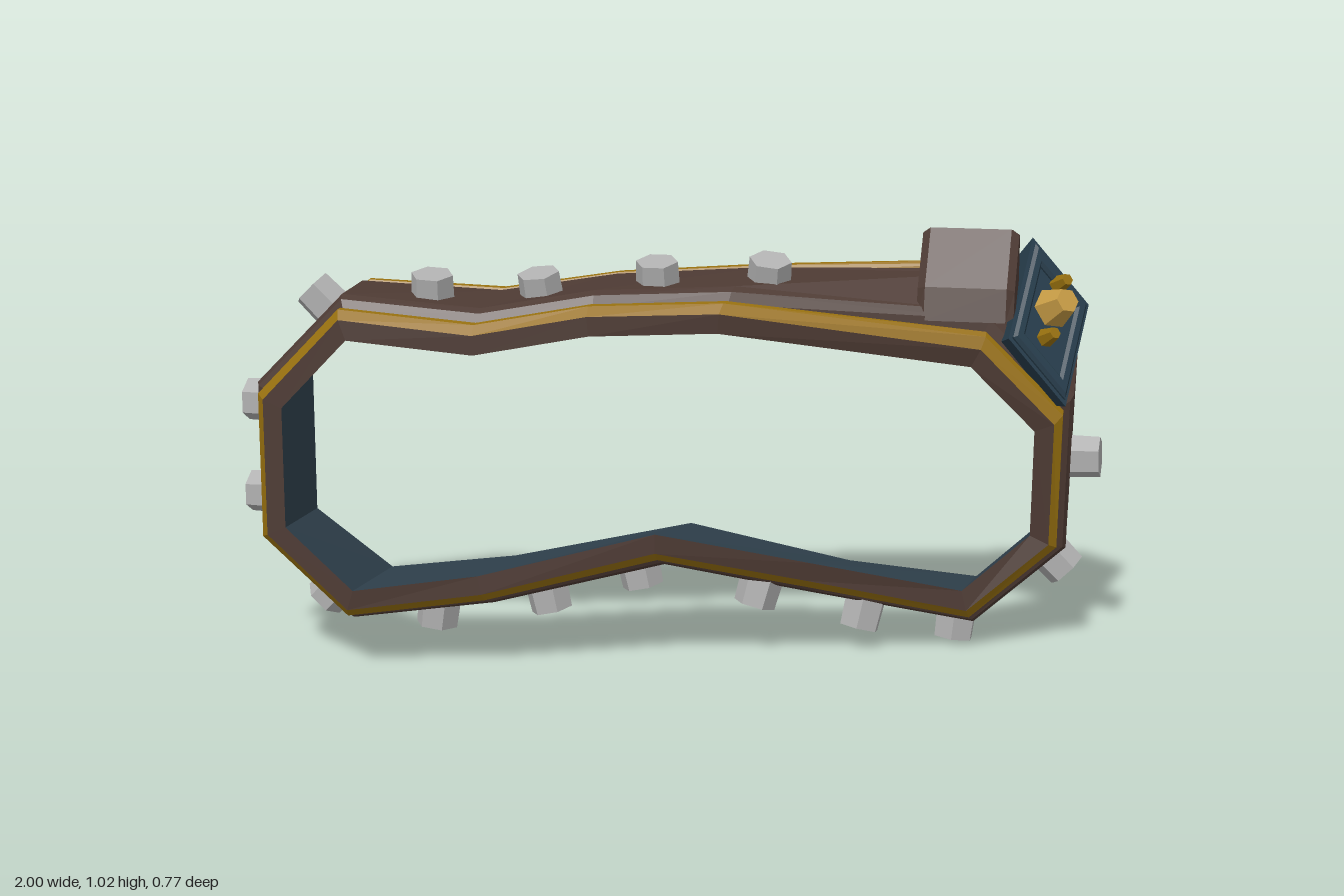
import * as THREE from 'three';

const mat = (name, color) => {
  const m = new THREE.MeshStandardMaterial({ color, flatShading: true });
  m.name = name;
  return m;
};

// Base loop of the strap, clockwise from the front: front x,y,z then back x,y,z
const PATH = [
  [-0.85, 0.63, 0.39, -0.86, 0.655, 0.06],
  [-0.69, 0.795, 0.39, -0.70, 0.805, 0.06],
  [-0.40, 0.765, 0.355, -0.40, 0.795, 0.03],
  [-0.14, 0.81, 0.305, -0.13, 0.83, -0.05],
  [0.14, 0.81, 0.21, 0.20, 0.845, -0.14],
  [0.70, 0.71, -0.02, 0.70, 0.87, -0.23],
  [0.85, 0.555, -0.055, 0.85, 0.73, -0.255],
  [0.845, 0.295, -0.08, 0.83, 0.27, -0.385],
  [0.69, 0.16, -0.04, 0.69, 0.145, -0.345],
  [0.345, 0.2475, 0.10, 0.40, 0.195, -0.235],
  [0, 0.335, 0.24, 0.02, 0.31, -0.09],
  [-0.40, 0.24, 0.345, -0.40, 0.235, 0.03],
  [-0.69, 0.20, 0.39, -0.69, 0.2, 0.06],
  [-0.85, 0.345, 0.39, -0.86, 0.32, 0.06],
];
const N = PATH.length;

// Mitred outward direction at each path point
const MITRE = PATH.map((p, i) => {
  const a = PATH[(i + N - 1) % N], b = PATH[(i + 1) % N];
  const n1 = new THREE.Vector2(a[1] - p[1], p[0] - a[0]).normalize();
  const n2 = new THREE.Vector2(p[1] - b[1], b[0] - p[0]).normalize();
  return n1.clone().add(n2).divideScalar(1 + n1.dot(n2));
});

// u runs from front edge to back edge, v is the height outward
function strapPoint(i, [u, v]) {
  const p = PATH[i % N], m = MITRE[i % N];
  return [
    p[0] + (p[3] - p[0]) * u + m.x * v,
    p[1] + (p[4] - p[1]) * u + m.y * v,
    p[2] + (p[5] - p[2]) * u,
  ];
}

// Sweep one section of the profile round the loop
function sweep(name, profile, material) {
  const pos = [];
  for (let i = 0; i < N; i++) {
    for (let j = 0; j < profile.length - 1; j++) {
      const a = strapPoint(i, profile[j]), b = strapPoint(i + 1, profile[j]);
      const c = strapPoint(i + 1, profile[j + 1]), d = strapPoint(i, profile[j + 1]);
      pos.push(...a, ...b, ...c, ...a, ...c, ...d);
    }
  }
  const g = new THREE.BufferGeometry();
  g.setAttribute('position', new THREE.Float32BufferAttribute(pos, 3));
  g.computeVertexNormals();
  const mesh = new THREE.Mesh(g, material);
  mesh.name = name;
  return mesh;
}

const points = (list) => list.map(([x, y]) => new THREE.Vector2(x, y));
const rect = (C, w, h) => new C(points([[-w, -h], [w, -h], [w, h], [-w, h]]));

export function createModel() {
  const leather = mat('brown leather', 0x4d3a33);
  const brass = mat('dark brass', 0x97700f);
  const lining = mat('blue lining', 0x2f404c);
  const plateBlue = mat('blue plate', 0x263c4b);
  const steel = mat('grey steel', 0xb0b0b0);
  const gold = mat('pale gold', 0xc79c45);

  const model = new THREE.Group();
  model.name = 'belt';
  const add = (name, geo, material, parent = model) => {
    const m = new THREE.Mesh(geo, material);
    m.name = name;
    parent.add(m);
    return m;
  };

  // Strap: edges, trims, raised centre and lining; thinner at the back
  model.add(
    sweep('frontEdge', [[0, 0], [0, 0.045]], leather),
    sweep('frontTrim', [[0, 0.045], [0.07, 0.064], [0.13, 0.064], [0.165, 0.053]], brass),
    sweep('strapCentre', [[0.165, 0.053], [0.21, 0.078], [0.27, 0.086], [0.75, 0.086], [0.82, 0.082], [0.87, 0.065]], leather),
    sweep('backTrim', [[0.87, 0.065], [0.9, 0.08], [0.95, 0.08], [1, 0.058]], brass),
    sweep('backEdge', [[1, 0.058], [1, 0.03]], leather),
    sweep('lining', [[1, 0.03], [0, 0]], lining),
  );

  // Hexagonal studs: centre, then outward direction
  const up = new THREE.Vector3(0, 1, 0);
  const studs = [
    [-0.535, 0.888, 0.21, 0.05, 1, 0.2], [-0.285, 0.893, 0.17, -0.1, 1, 0.22],
    [-0.02, 0.919, 0.11, 0, 1, 0.22], [0.23, 0.92, 0.03, 0.12, 1, 0.3],
    [-0.795, 0.86, 0.23, -0.7, 0.7, 0.05], [-0.957, 0.61, 0.215, -1, 0, 0],
    [-0.957, 0.385, 0.215, -1, 0, 0], [-0.79, 0.158, 0.23, -0.7, -0.75, 0],
    [-0.535, 0.118, 0.215, -0.13, -1, 0], [-0.275, 0.158, 0.17, 0.22, -1, 0],
    [-0.065, 0.213, 0.11, 0.22, -1, 0], [0.21, 0.158, 0.03, -0.25, -1, 0.15],
    [0.45, 0.09, -0.06, -0.2, -1, 0.2], [0.665, 0.05, -0.16, -0.1, -1, 0.1],
    [0.90, 0.205, -0.22, 0.7, -0.7, 0], [0.96, 0.47, -0.185, 1, 0.03, 0.05],
  ];
  const studGeo = new THREE.CylinderGeometry(0.05, 0.053, 0.08, 6).rotateY(Math.PI / 6);
  const studGroup = new THREE.Group();
  studGroup.name = 'studs';
  model.add(studGroup);
  for (const [x, y, z, nx, ny, nz] of studs) {
    const s = add('stud', studGeo, steel, studGroup);
    s.position.set(x, y, z);
    s.quaternion.setFromUnitVectors(up, new THREE.Vector3(nx, ny, nz).normalize());
  }

  // Leather loop beside the buckle: a side profile (z, y) extruded across
  const loopShape = new THREE.Shape(points([
    [0.02, 0.83], [0.035, 0.89], [0.13, 1.008], [0.148, 1.005], [0.152, 0.85],
  ]));
  const loopGeo = new THREE.ExtrudeGeometry(loopShape, {
    depth: 0.19, bevelEnabled: true, bevelSize: 0.012, bevelThickness: 0.018, bevelSegments: 1,
  });
  const strapLoop = add('strapLoop', loopGeo, leather);
  strapLoop.rotation.y = Math.PI / 2;
  strapLoop.position.x = 0.588;

  // Buckle: slanted plate, smaller at the back, with a raised rim
  const X = new THREE.Vector3(0.646, -0.757, -0.067);
  const Y = new THREE.Vector3(0.134, 0.773, -0.62);
  const Z = X.clone().cross(Y).normalize();
  const centre = new THREE.Vector3(0.863, 0.8, -0.132);
  const slant = new THREE.Matrix4().makeBasis(X, Y, Z).setPosition(centre);
  const buckle = new THREE.Group();
  buckle.name = 'buckle';
  model.add(buckle);
  const base = new THREE.BoxGeometry(0.21, 0.276, 0.065).translate(0, 0, -0.0175);
  const bp = base.attributes.position;
  for (let i = 0; i < bp.count; i++) {
    if (bp.getZ(i) < 0) bp.setXY(i, bp.getX(i) * 0.92, bp.getY(i) * 0.88);
  }
  add('bucklePlate', base.applyMatrix4(slant), plateBlue, buckle);
  const rimShape = rect(THREE.Shape, 0.088, 0.12);
  rimShape.holes.push(rect(THREE.Path, 0.072, 0.1));
  const rim = new THREE.ExtrudeGeometry(rimShape, {
    depth: 0.02, bevelEnabled: true, bevelSize: 0.008, bevelThickness: 0.008, bevelSegments: 1,
  });
  add('buckleRim', rim.applyMatrix4(slant), plateBlue, buckle);

  // Gold ornaments on the buckle
  const ornament = (name, r, h, along, lift, material) => {
    const m = add(name, new THREE.CylinderGeometry(r * 0.6, r, h, 6), material, buckle);
    m.position.copy(centre).addScaledVector(Y, along).addScaledVector(Z, lift);
    m.quaternion.setFromUnitVectors(up, Z);
  };
  ornament('gem', 0.05, 0.066, 0.035, 0.047, gold);
  ornament('upperRivet', 0.024, 0.045, 0.1, 0.035, brass);
  ornament('lowerRivet', 0.024, 0.045, -0.045, 0.035, brass);

  return model;
}
